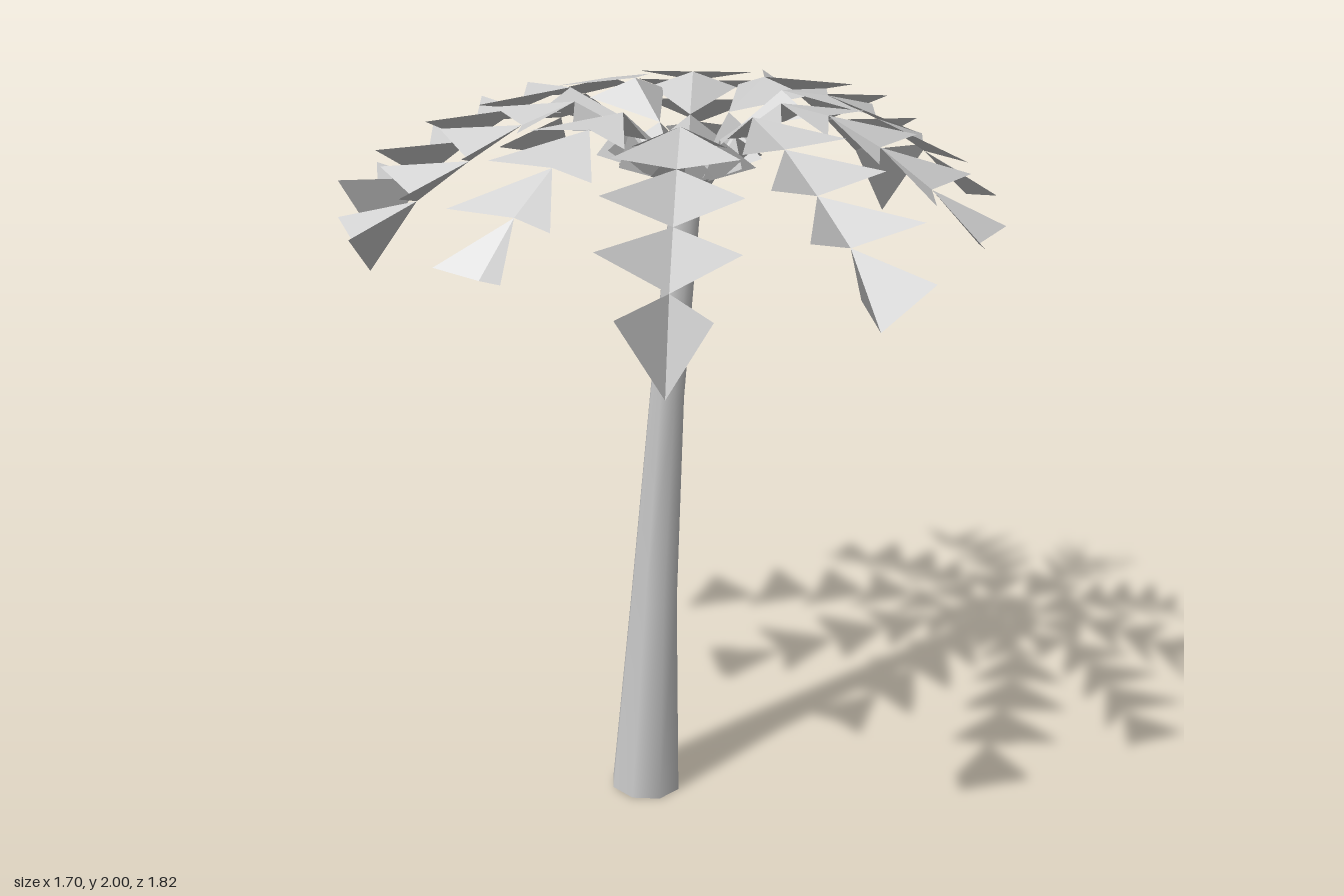
import * as THREE from 'three';

const grey = new THREE.MeshStandardMaterial({ color: 0xcccccc, side: THREE.DoubleSide });
grey.name = 'pale grey';

const CROWN = new THREE.Vector3(0.07, 1.825, 0);

// Leaning, tapering trunk: a cylinder whose rings follow a bent centre line
function makeTrunk() {
  const rings = [ // x, y, z, radius from bottom to top
    [-0.082, 0.005, -0.095, 0.099],
    [-0.05, 0.6, -0.08, 0.066],
    [0.0, 1.2, -0.047, 0.047],
    [0.067, 1.8, -0.015, 0.04],
  ];
  const geo = new THREE.CylinderGeometry(1, 1, 3, 8, 3, true);
  const pos = geo.attributes.position;
  for (let i = 0; i < pos.count; i++) {
    const [x, y, z, r] = rings[Math.round(pos.getY(i) + 1.5)];
    const px = pos.getX(i) * r;
    pos.setXYZ(i, x + px, y - px * 0.05, z + pos.getZ(i) * r);
  }
  geo.computeVertexNormals();
  // average the normals across the cylinder seam
  const n = geo.attributes.normal;
  for (let row = 0; row < 4; row++) {
    const a = row * 9, b = a + 8;
    const v = new THREE.Vector3().fromBufferAttribute(n, a)
      .add(new THREE.Vector3().fromBufferAttribute(n, b)).normalize();
    n.setXYZ(a, v.x, v.y, v.z);
    n.setXYZ(b, v.x, v.y, v.z);
  }
  const mesh = new THREE.Mesh(geo, grey);
  mesh.name = 'trunk';
  return mesh;
}

// Leaflet tips share heights and half widths on every frond
const TIP_Y = [1.85, 1.955, 1.965, 1.915, 1.83, 1.725];
const TIP_W = [0.075, 0.11, 0.145, 0.16, 0.16, 0.105];

// Short, medium and long fronds: spine points [radius, y] and leaflet tip radii
const FRONDS = [
  { spine: [[0.05, 1.79], [0.125, 1.91], [0.24, 2.0], [0.36, 1.98], [0.49, 1.915], [0.62, 1.825], [0.74, 1.705]],
    tips: [0.17, 0.28, 0.405, 0.535, 0.675, 0.78] },
  { spine: [[0.05, 1.79], [0.145, 1.92], [0.28, 2.0], [0.41, 1.95], [0.54, 1.87], [0.67, 1.78], [0.79, 1.615]],
    tips: [0.19, 0.31, 0.45, 0.585, 0.735, 0.85] },
  { spine: [[0.05, 1.79], [0.165, 1.93], [0.31, 1.995], [0.45, 1.93], [0.59, 1.835], [0.73, 1.725], [0.87, 1.53]],
    tips: [0.21, 0.345, 0.495, 0.635, 0.78, 0.925] },
];

// A chain of chevrons, each a pair of triangles either side of the spine
function makeFrond({ spine, tips }) {
  const p = [];
  for (let i = 0; i < tips.length; i++) {
    const [r0, y0] = spine[i], [r1, y1] = spine[i + 1];
    const tip = (side) => [tips[i], TIP_Y[i], side * TIP_W[i]];
    p.push(r0, y0, 0, ...tip(1), r1, y1, 0);
    p.push(r0, y0, 0, r1, y1, 0, ...tip(-1));
  }
  const geo = new THREE.BufferGeometry();
  geo.setAttribute('position', new THREE.Float32BufferAttribute(p, 3));
  geo.computeVertexNormals();
  return new THREE.Mesh(geo, grey);
}

export function createModel() {
  const tree = new THREE.Group();
  tree.name = 'palmTree';
  tree.add(makeTrunk());

  // Faceted heart of the crown, tilted with the trunk
  const heart = new THREE.Mesh(new THREE.IcosahedronGeometry(0.09, 0), grey);
  heart.name = 'crownHeart';
  heart.position.copy(CROWN);
  heart.rotation.z = -0.1;
  tree.add(heart);

  // Ten fronds, cycling through the three lengths
  const fronds = new THREE.Group();
  fronds.name = 'fronds';
  fronds.position.x = CROWN.x;
  for (let i = 0; i < 10; i++) {
    const frond = makeFrond(FRONDS[i % 3]);
    frond.name = 'frond' + (i + 1);
    frond.rotation.y = -i * Math.PI / 5;
    fronds.add(frond);
  }
  tree.add(fronds);
  return tree;
}
